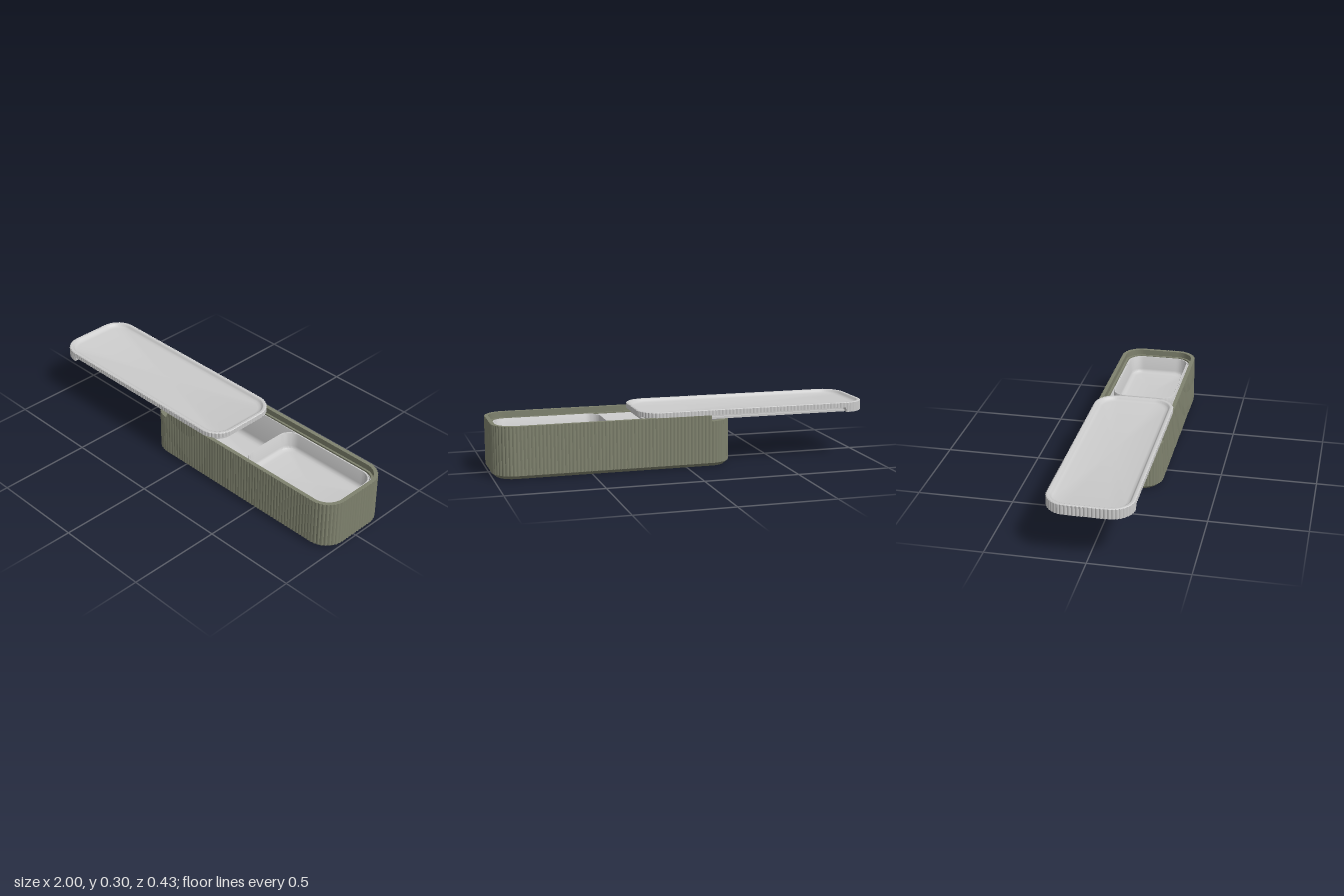
import * as THREE from 'three';
import { toCreasedNormals } from 'three/addons/utils/BufferGeometryUtils.js';

const FLUTE = 0.004; // height of one rib
const STEPS = 6;     // samples per rib

// Rounded rectangle sampled evenly along its length: position, outward normal, rib height
function outline(cx, halfX, halfZ, r, ribs, steps = STEPS) {
  const a = halfX - r, b = halfZ - r, arc = r * Math.PI / 2;
  // straight and corner runs, starting on the +x side and turning towards +z
  const runs = [];
  [[a, b], [-a, b], [-a, -b], [a, -b]].forEach(([x, z], i) => {
    runs.push({ len: 2 * (i % 2 ? a : b), x, z, ang: i * Math.PI / 2 });
    runs.push({ len: arc, x, z, ang: i * Math.PI / 2, corner: true });
  });
  const total = runs.reduce((s, e) => s + e.len, 0);
  const n = ribs * steps, pts = [];
  for (let i = 0; i < n; i++) {
    let d = total * i / n, k = 0;
    while (k < 7 && d > runs[k].len) d -= runs[k++].len;
    const e = runs[k];
    const ang = e.ang + (e.corner ? d / r : 0);
    const nx = Math.cos(ang), nz = Math.sin(ang);
    const back = e.corner ? 0 : e.len - d;
    pts.push({
      x: cx + e.x + nx * r + nz * back,
      z: e.z + nz * r - nx * back,
      nx, nz, rib: Math.sin(Math.PI * (i % steps) / steps),
    });
  }
  return pts;
}

// Skin through rings [inset, y or y(x), ribStrength], closed by a flat cap at each end
function loft(pts, rings, cx) {
  const n = pts.length, pos = [], idx = [];
  for (const [inset, y, rib = 0] of rings) {
    for (const p of pts) {
      const d = rib * FLUTE * p.rib - inset;
      pos.push(p.x + p.nx * d, typeof y === 'function' ? y(p.x) : y, p.z + p.nz * d);
    }
  }
  for (let k = 0; k < rings.length - 1; k++) {
    for (let i = 0; i < n; i++) {
      const j = (i + 1) % n;
      const a = k * n + i, b = k * n + j, c = a + n, d = b + n;
      idx.push(a, c, d, a, d, b);
    }
  }
  const last = (rings.length - 1) * n, c0 = pos.length / 3;
  pos.push(cx, rings[0][1], 0, cx, rings[rings.length - 1][1], 0);
  for (let i = 0; i < n; i++) {
    const j = (i + 1) % n;
    idx.push(c0, i, j, c0 + 1, last + j, last + i);
  }
  const g = new THREE.BufferGeometry();
  g.setAttribute('position', new THREE.Float32BufferAttribute(pos, 3));
  g.setIndex(idx);
  return toCreasedNormals(g, 0.6);
}

export function createModel() {
  const group = new THREE.Group();
  const green = new THREE.MeshStandardMaterial({ color: 0x7f826e });
  const grey = new THREE.MeshStandardMaterial({ color: 0xcccccc });
  const add = (name, pts, rings, cx, material) => {
    const mesh = new THREE.Mesh(loft(pts, rings, cx), material);
    mesh.name = name;
    group.add(mesh);
  };
  const halfX = 0.621, halfZ = 0.2105, r = 0.11, ribs = 166;

  // Fluted box: chamfered foot, rim cut low at the sliding end, ledge for the lid rail
  const boxX = 0.375;
  const rimY = (x) => (x < -0.13 ? 0.24 : 0.271);
  add('box', outline(boxX, halfX, halfZ, r, ribs), [
    [0.019, 0], [0, 0.019, 1], [0, rimY, 1],
    [0.018, rimY], [0.018, 0.24], [0.029, 0.24],
    [0.029, 0.03],
  ], boxX, green);

  // Smooth liner filling the box
  add('liner', outline(boxX, 0.591, 0.1805, 0.08, 40, 4), [
    [0, 0.025], [0, 0.232], [0.001, 0.234], [0.005, 0.234], [0.006, 0.232],
    [0.008, 0.065], [0.013, 0.05], [0.025, 0.04], [0.04, 0.037],
  ], boxX, grey);

  // Shallow removable tray at the closed end
  const trayX = 0.669;
  add('tray', outline(trayX, 0.289, 0.174, 0.075, 40, 4), [
    [0.022, 0.13], [0.01, 0.133], [0.004, 0.145], [0, 0.236], [0.002, 0.24],
    [0.008, 0.24], [0.01, 0.236], [0.014, 0.165], [0.019, 0.152],
    [0.029, 0.145], [0.045, 0.142],
  ], trayX, grey);

  // Sliding lid: rail and neck below, deeper fluted grip at the far end, dished top
  const lidX = -0.3775;
  const underY = (x) => (x < -0.88 ? 0.247 : 0.272);
  add('lid', outline(lidX, halfX - 0.0025, halfZ, r, ribs), [
    [0.022, 0.247], [0.022, 0.258], [0.034, 0.258], [0.034, underY],
    [0, underY, 1], [0, 0.297, 1], [0.003, 0.3, 0.6], [0.013, 0.3],
    [0.017, 0.298], [0.021, 0.291], [0.028, 0.285], [0.042, 0.282],
  ], lidX, grey);

  return group;
}
